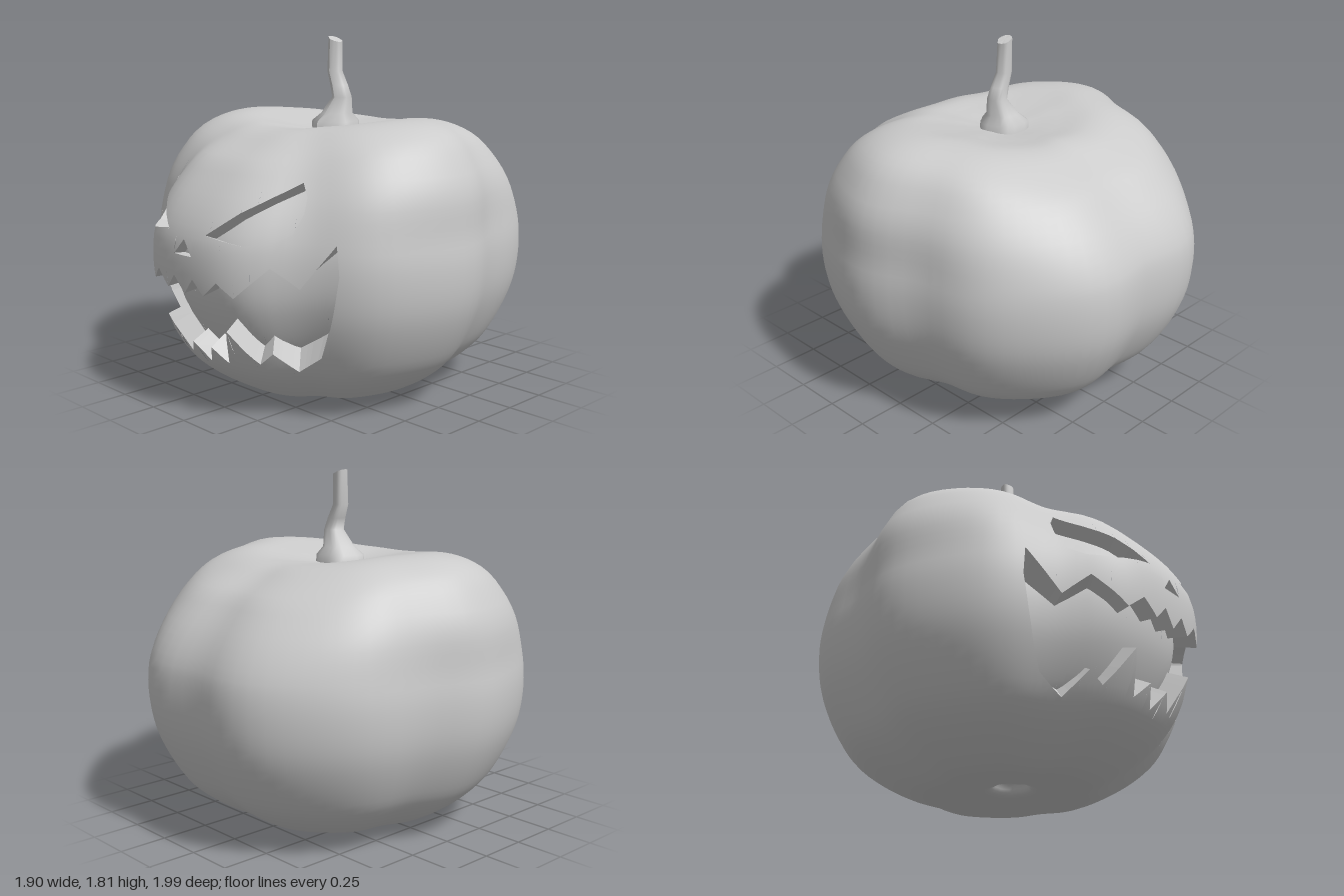
import * as THREE from 'three';

// Radius around the body every 18 degrees, front to back (mirrored left/right)
const RIBS = [0.985, 0.98, 0.888, 0.948, 0.95, 0.95, 0.89, 0.97, 1.01, 1.04, 0.97];
// Body profile from the bottom dimple to the dent under the stem: [relative radius, height]
const PROFILE = [[0, 0.09], [0.07, 0.085], [0.11, 0.035], [0.22, 0.02], [0.42, 0.003], [0.61, 0.08], [0.78, 0.2],
  [0.885, 0.34], [0.97, 0.53], [1, 0.72], [0.985, 0.9], [0.92, 1.09], [0.79, 1.26], [0.64, 1.35],
  [0.48, 1.385], [0.3, 1.365], [0.13, 1.34], [0, 1.33]];
const SPAN = PROFILE.length - 1;
const RADII = PROFILE.map(p => p[0]);
const HEIGHTS = PROFILE.map(p => p[1]);

// Half outlines on the model's left, as seen from the front
const MOUTH = [[0, 0.26], [0.07, 0.355], [0.14, 0.28], [0.225, 0.47], [0.305, 0.3], [0.37, 0.36], [0.405, 0.25],
  [0.53, 0.34], [0.6, 0.46], [0.65, 0.6], [0.68, 0.76], [0.66, 0.9], [0.52, 0.69], [0.43, 0.79],
  [0.3, 0.645], [0.22, 0.71], [0.135, 0.635], [0.07, 0.705], [0, 0.625]];
const NOSE = [[0, 0.81], [0.065, 0.811], [0, 0.885]];
const EYE = [[0.14, 0.92], [0.33, 0.89], [0.43, 0.9], [0.48, 0.94], [0.498, 1.03], [0.485, 1.1], [0.44, 1.16],
  [0.37, 1.1], [0.28, 1.03]];

// Catmull-Rom interpolation of a list of numbers
function spline(list, u) {
  const n = list.length - 1;
  const i = Math.min(Math.max(Math.floor(u), 0), n - 1), f = u - i;
  const a = list[Math.max(i - 1, 0)], b = list[i], c = list[i + 1], d = list[Math.min(i + 2, n)];
  return b + 0.5 * f * (c - a + f * (2 * a - 5 * b + 4 * c - d + f * (3 * (b - c) + d - a)));
}

// Ring radius; the shoulders are broader to the sides than to the front and back
function ringRadius(angle, t) {
  const turn = Math.abs(Math.atan2(Math.sin(angle), Math.cos(angle)));
  const shoulder = 0.14 * THREE.MathUtils.smoothstep(spline(HEIGHTS, t), 0.85, 1.4);
  return spline(RADII, t) * spline(RIBS, turn / Math.PI * 10) * (1 - shoulder * Math.cos(2 * angle));
}

function surfacePoint(angle, t) {
  const y = spline(HEIGHTS, t), r = ringRadius(angle, t);
  const lift = -0.06 * r * Math.cos(2 * angle) * THREE.MathUtils.smoothstep(y, 1.2, 1.36);
  return new THREE.Vector3(r * Math.sin(angle), y + lift, r * Math.cos(angle));
}

// Normal taken over a wide span, which softens the shading of the ribs
function surfaceNormal(angle, t) {
  const e = 0.15, m = THREE.MathUtils.clamp(t, 0.2, SPAN - 0.2);
  const across = surfacePoint(angle + e, m).sub(surfacePoint(angle - e, m));
  const up = surfacePoint(angle, m + e).sub(surfacePoint(angle, m - e));
  return across.cross(up).normalize();
}

function bisect(fn, target, lo, hi) {
  for (let i = 0; i < 40; i++) {
    const mid = (lo + hi) / 2;
    if (fn(mid) < target) lo = mid; else hi = mid;
  }
  return (lo + hi) / 2;
}

// Front position (x, y) to surface coordinates (angle, t)
function toSurface([x, y]) {
  const t = bisect(u => spline(HEIGHTS, u), y, 4, 13);
  if (x === 0) return [0, t];
  const angle = bisect(a => ringRadius(a, t) * Math.sin(a), Math.abs(x), 0, 1.4);
  return [Math.sign(x) * angle, t];
}

const mirror = pts => pts.map(([x, y]) => [-x, y]).reverse();
const whole = half => [...half, ...mirror(half).slice(1, -1)];

// Body skin cut into thin vertical strips; carved stretches are sunk and joined by walls
function carvedBody() {
  const eyeDepth = () => 0.075;
  const carvings = [[whole(MOUTH), angle => 0.1 + 0.13 * angle * angle], [whole(NOSE), () => 0.06],
    [EYE, eyeDepth], [mirror(EYE), eyeDepth]];
  const edges = [];
  let cuts = [];
  for (const [outline, depth] of carvings) {
    const pts = outline.map(toSurface);
    pts.forEach((p, i) => {
      const q = pts[(i + 1) % pts.length];
      const [a, b] = p[0] < q[0] ? [p, q] : [q, p];
      edges.push({ a, b, depth });
      cuts.push(p[0]);
    });
  }
  for (let i = 0; i <= 80; i++) cuts.push(-Math.PI + i * Math.PI / 40);
  cuts = cuts.sort((p, q) => p - q).filter((c, i, all) => i === 0 || c - all[i - 1] > 1e-6);

  const skin = { pos: [], nor: [] }, hollow = { pos: [], nor: [] };
  const quad = (out, pts, normals) => {
    for (const k of [0, 1, 2, 0, 2, 3]) {
      out.pos.push(...pts[k].toArray());
      out.nor.push(...normals[k].toArray());
    }
  };
  const sunk = (angle, t, d) => surfacePoint(angle, t).addScaledVector(surfaceNormal(angle, t), -d);
  const along = (e, angle) => THREE.MathUtils.mapLinear(angle, e.a[0], e.b[0], e.a[1], e.b[1]);

  for (let c = 0; c < cuts.length - 1; c++) {
    const l = cuts[c], r = cuts[c + 1], mid = (l + r) / 2;
    const crossing = edges.filter(e => e.a[0] < mid && e.b[0] > mid)
      .sort((p, q) => along(p, mid) - along(q, mid));
    const bounds = [[0, 0], ...crossing.map(e => [along(e, l), along(e, r)]), [SPAN, SPAN]];

    for (let k = 0; k < bounds.length - 1; k++) {
      const depth = k % 2 ? crossing[k - 1].depth : () => 0;
      // Rows sit on one shared grid so that neighbouring strips meet
      const rows = [bounds[k]];
      const low = Math.max(...bounds[k]), high = Math.min(...bounds[k + 1]);
      for (let g = Math.floor(low * 4 + 1) / 4; g < high; g += 0.25) rows.push([g, g]);
      rows.push(bounds[k + 1]);
      for (let j = 0; j < rows.length - 1; j++) {
        const corners = [[l, rows[j][0]], [r, rows[j][1]], [r, rows[j + 1][1]], [l, rows[j + 1][0]]];
        quad(k % 2 ? hollow : skin, corners.map(([a, t]) => sunk(a, t, depth(a))),
          corners.map(([a, t]) => surfaceNormal(a, t)));
      }
    }

    // Cut walls between the skin and the sunken floor
    crossing.forEach((e, k) => {
      const tl = along(e, l), tr = along(e, r);
      const wall = [sunk(l, tl, 0), sunk(r, tr, 0), sunk(r, tr, e.depth(r)), sunk(l, tl, e.depth(l))];
      if (k % 2) wall.reverse();
      const n = wall[2].clone().sub(wall[0]).cross(wall[3].clone().sub(wall[1])).normalize();
      quad(hollow, wall, [n, n, n, n]);
    });
  }
  return [skin, hollow].map(({ pos, nor }) => {
    const geo = new THREE.BufferGeometry();
    geo.setAttribute('position', new THREE.Float32BufferAttribute(pos, 3));
    geo.setAttribute('normal', new THREE.Float32BufferAttribute(nor, 3));
    return geo;
  });
}

// Crooked stem with a flared five-lobed foot; rows are [x, y, z, radius]
function stemGeometry() {
  const rows = [[0, 1.31, -0.02, 0.125], [0, 1.375, -0.02, 0.12], [0.012, 1.415, -0.02, 0.08],
    [0.05, 1.5, -0.02, 0.05], [0.03, 1.56, -0.02, 0.045], [0, 1.63, -0.02, 0.039], [-0.002, 1.795, -0.025, 0.036]];
  const n = rows.length - 1;
  const geo = new THREE.CylinderGeometry(1, 1, 1, 20, n);
  const p = geo.attributes.position;
  for (let i = 0; i < p.count; i++) {
    const row = Math.round((p.getY(i) + 0.5) * n), [x, y, z, r] = rows[row];
    const lobe = r * (1 + 0.06 * Math.cos(5 * Math.atan2(p.getX(i), p.getZ(i))));
    const slant = row === n ? -0.015 * p.getX(i) : 0;
    p.setXYZ(i, x + p.getX(i) * lobe, y + slant, z + p.getZ(i) * lobe);
  }
  geo.computeVertexNormals();
  return geo;
}

export function createModel() {
  const group = new THREE.Group();
  group.name = 'carvedPumpkin';
  const material = new THREE.MeshStandardMaterial({ color: 0xcccccc });
  const add = (name, geo) => {
    const mesh = new THREE.Mesh(geo, material);
    mesh.name = name;
    group.add(mesh);
  };
  const [skin, hollow] = carvedBody();
  add('body', skin);
  add('carvedFace', hollow);
  add('stem', stemGeometry());
  return group;
}
